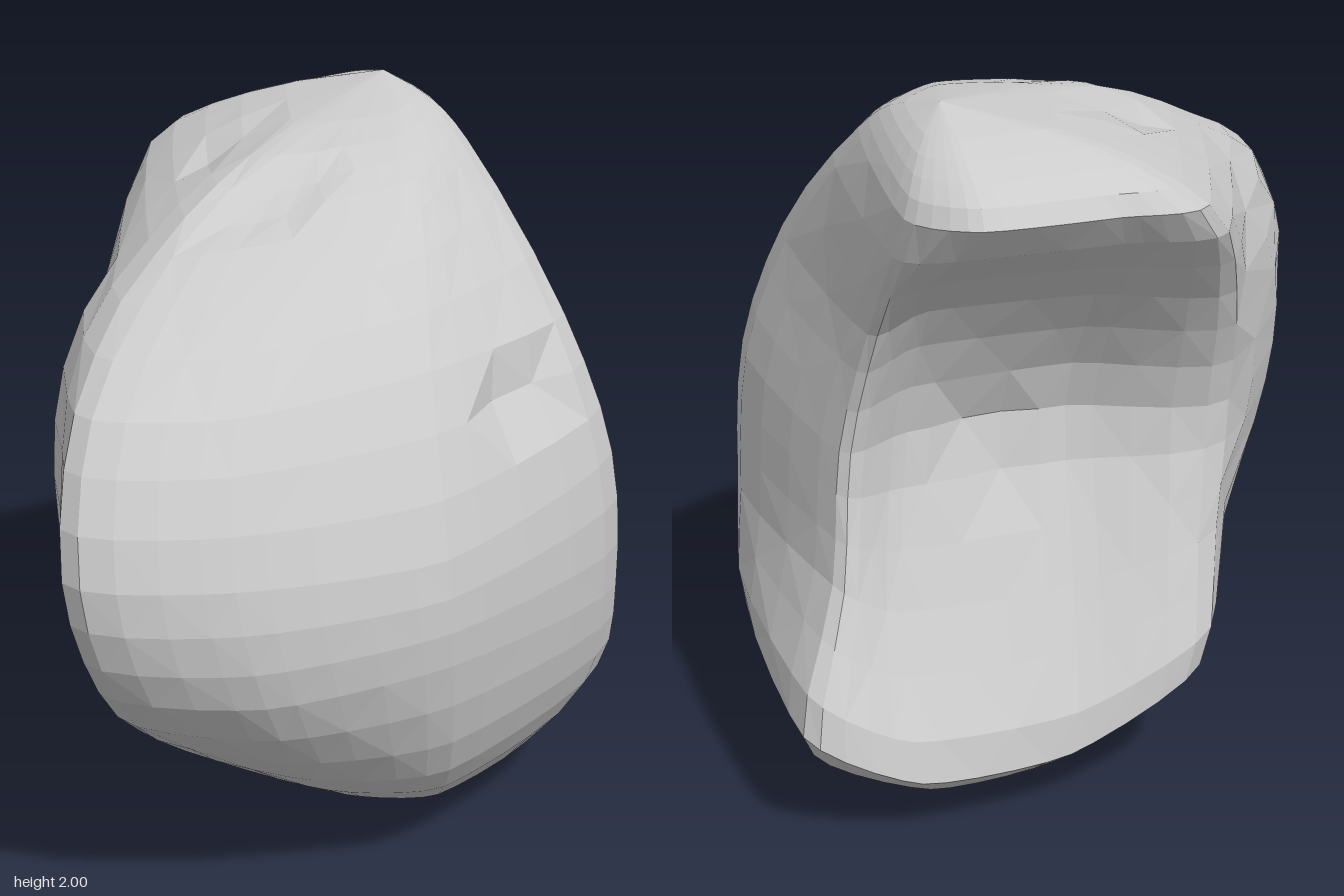
import * as THREE from 'three';

const V = (p) => new THREE.Vector3(...p);

// Contour lines running from the underside to the crown, in order around the rock
const bottom = V([0.36, 0, 0]), top = V([0.57, 2, -0.27]);
const rails = {
  leftEdge: [[-0.05, 0.12, 0.03], [-0.48, 0.36, 0.03], [-0.89, 0.74, 0.27], [-1, 1.08, 0.28], [-0.85, 1.45, 0.15], [-0.42, 1.72, -0.06]],
  leftFront: [[0.03, 0.1, 0.25], [-0.33, 0.36, 0.45], [-0.62, 0.73, 0.61], [-0.7, 1.07, 0.59], [-0.57, 1.45, 0.44], [-0.15, 1.76, 0.17]],
  frontBulge: [[0.2, 0.08, 0.36], [0, 0.35, 0.64], [-0.12, 0.75, 0.77], [-0.14, 1.05, 0.76], [-0.03, 1.48, 0.57], [0.2, 1.8, 0.28]],
  frontCorner: [[0.52, 0.09, 0.32], [0.69, 0.4, 0.53], [0.65, 0.7, 0.62], [0.62, 1.1, 0.61], [0.57, 1.47, 0.46], [0.6, 1.86, 0.04]],
  rightRim: [[0.78, 0.13, -0.1], [0.99, 0.34, -0.2], [0.83, 0.7, -0.12], [0.77, 1.05, -0.08], [0.74, 1.4, -0.18], [0.81, 1.8, -0.45]],
  hollowRight: [[0.54, 0.07, -0.2], [0.74, 0.19, -0.38], [0.67, 0.6, -0.2], [0.56, 1.05, -0.09], [0.6, 1.45, -0.25], [0.73, 1.81, -0.66]],
  hollowLeft: [[0.34, 0.07, -0.22], [0.33, 0.18, -0.49], [0.22, 0.6, -0.36], [0.13, 1.05, -0.21], [0.2, 1.45, -0.42], [0.38, 1.79, -0.74]],
  leftRim: [[0.02, 0.13, -0.25], [-0.06, 0.35, -0.56], [-0.17, 0.7, -0.49], [-0.24, 1.05, -0.45], [-0.15, 1.42, -0.57], [0.12, 1.77, -0.76]],
};

// Local dents and swellings: centre, half sizes, push
const dents = [
  { at: [0.25, 1.36, 0.61], size: [0.22, 0.09, 0.2], push: [0, 0, -0.06] },
  { at: [0.35, 0.98, -0.14], size: [0.12, 0.1, 0.15], push: [-0.03, 0, 0.07] },
  { at: [-0.1, 1.82, 0.02], size: [0.3, 0.15, 0.12], push: [0, -0.03, 0] },
  { at: [0, 1.83, -0.3], size: [0.15, 0.15, 0.13], push: [0, -0.03, 0] },
  { at: [-0.57, 1.15, -0.18], size: [0.42, 0.6, 0.42], push: [-0.045, 0, -0.045] },
];

function dent(p) {
  for (const d of dents) {
    const r = Math.hypot(...['x', 'y', 'z'].map((k, i) => (p[k] - d.at[i]) / d.size[i]));
    if (r < 1) p.addScaledVector(V(d.push), 1 - r * r);
  }
  return p;
}

// Rounds a contour over towards a pole
function shoulder(end, pole) {
  const p = end.clone().lerp(pole, 0.4);
  p.y = pole.y + (end.y - pole.y) * 0.38;
  return p;
}

function railCurve(points) {
  const p = points.map(V);
  return new THREE.CatmullRomCurve3(
    [bottom, shoulder(p[0], bottom), ...p, shoulder(p[p.length - 1], top), top], false, 'centripetal');
}

function rockGeometry(rows, cols) {
  const curves = Object.values(rails).map(railCurve);
  const pos = [], index = [];
  // Rings joining the contour lines, kept taut so the corners stay firm
  for (let i = 1; i < rows; i++) {
    const ring = new THREE.CatmullRomCurve3(curves.map((c) => c.getPoint(i / rows)), true, 'catmullrom', 0.3);
    for (let j = 0; j < cols; j++) pos.push(...dent(ring.getPoint(j / cols)).toArray());
  }
  const b = pos.length / 3, t = b + 1;
  pos.push(...bottom.toArray(), ...top.toArray());
  const id = (i, j) => i * cols + (j % cols);
  for (let j = 0; j < cols; j++) {
    for (let i = 0; i < rows - 2; i++) {
      const a = id(i, j), c = id(i, j + 1), d = id(i + 1, j + 1), e = id(i + 1, j);
      // Alternate the diagonal for an irregular faceted look
      if ((i + j) % 2) index.push(a, c, d, a, d, e);
      else index.push(a, c, e, c, d, e);
    }
    index.push(b, id(0, j + 1), id(0, j), t, id(rows - 2, j), id(rows - 2, j + 1));
  }
  const g = new THREE.BufferGeometry();
  g.setAttribute('position', new THREE.Float32BufferAttribute(pos, 3));
  g.setIndex(index);
  g.computeVertexNormals();
  return g;
}

export function createModel() {
  const group = new THREE.Group();
  group.name = 'hollowedRock';
  const rock = new THREE.Mesh(rockGeometry(27, 40),
    new THREE.MeshStandardMaterial({ color: 0xcccccc, flatShading: true }));
  rock.name = 'rockBody';
  group.add(rock);
  return group;
}
